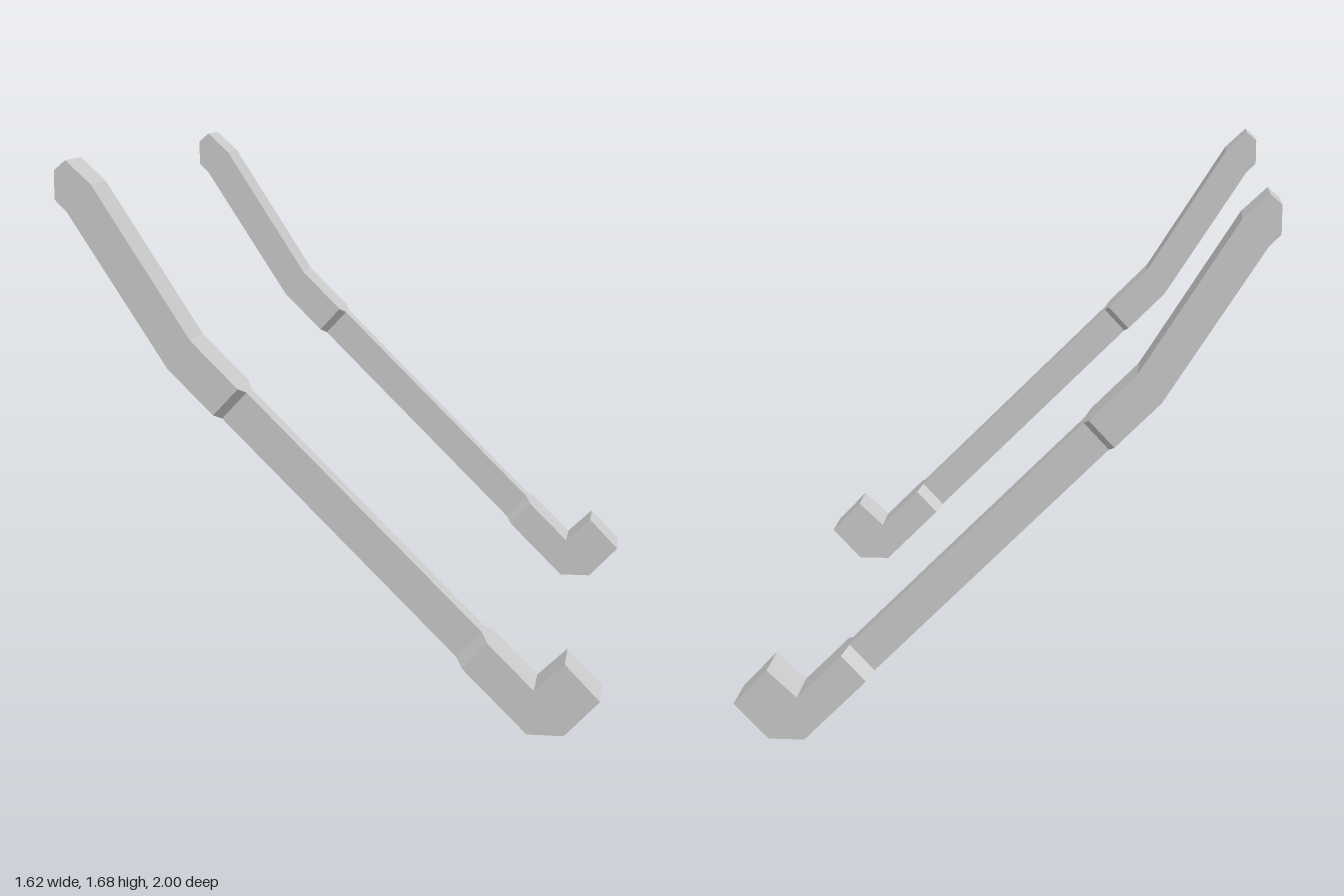
import * as THREE from 'three';

const WIDE = 0.08, NARROW = 0.035;

// Cross-sections along the arm: upper x, y, lower x, y, half thickness
const sections = [
  [-0.81, 1.65, -0.81, 1.565, WIDE],     // chamfered tip
  [-0.775, 1.68, -0.775, 1.53, WIDE],
  [-0.70, 1.61, -0.74, 1.475, WIDE],
  [-0.41, 1.155, -0.48, 1.07, WIDE],     // bend
  [-0.27, 1.015, -0.345, 0.935, WIDE],   // step down to the thin shaft
  [-0.253, 0.998, -0.328, 0.918, NARROW],
  [0.452, 0.293, 0.377, 0.213, NARROW],  // step back up to the foot
  [0.472, 0.273, 0.397, 0.193, WIDE],
  [0.61, 0.135, 0.59, 0, WIDE],          // hooked foot
  [0.70, 0.22, 0.70, 0, WIDE],
  [0.805, 0.11, 0.805, 0.11, WIDE],
];

// Skins rectangular cross-sections into a flat-faced solid
function loftGeometry(list) {
  const rings = list.map(([ux, uy, lx, ly, h]) => [
    new THREE.Vector3(ux, uy, h), new THREE.Vector3(ux, uy, -h),
    new THREE.Vector3(lx, ly, -h), new THREE.Vector3(lx, ly, h),
  ]);
  const points = [];
  const triangle = (a, b, c) => {
    if (new THREE.Triangle(a, b, c).getArea() > 1e-7) points.push(a, b, c);
  };
  const quad = (a, b, c, d) => { triangle(a, b, c); triangle(a, c, d); };
  for (let i = 0; i < rings.length - 1; i++) {
    const r = rings[i], s = rings[i + 1];
    for (let k = 0; k < 4; k++) {
      const n = (k + 1) % 4;
      quad(r[k], s[k], s[n], r[n]);
    }
  }
  quad(...rings[0]);
  quad(...rings[rings.length - 1].slice().reverse());
  const geometry = new THREE.BufferGeometry().setFromPoints(points);
  geometry.computeVertexNormals();
  return geometry;
}

export function createModel() {
  const model = new THREE.Group();
  model.name = 'bentArmPair';
  const material = new THREE.MeshStandardMaterial({ color: 0xcccccc, flatShading: true });
  const geometry = loftGeometry(sections);
  // Matching front and back arms
  for (const [name, z] of [['frontArm', 0.92], ['backArm', -0.92]]) {
    const arm = new THREE.Mesh(geometry, material);
    arm.name = name;
    arm.position.z = z;
    model.add(arm);
  }
  return model;
}
